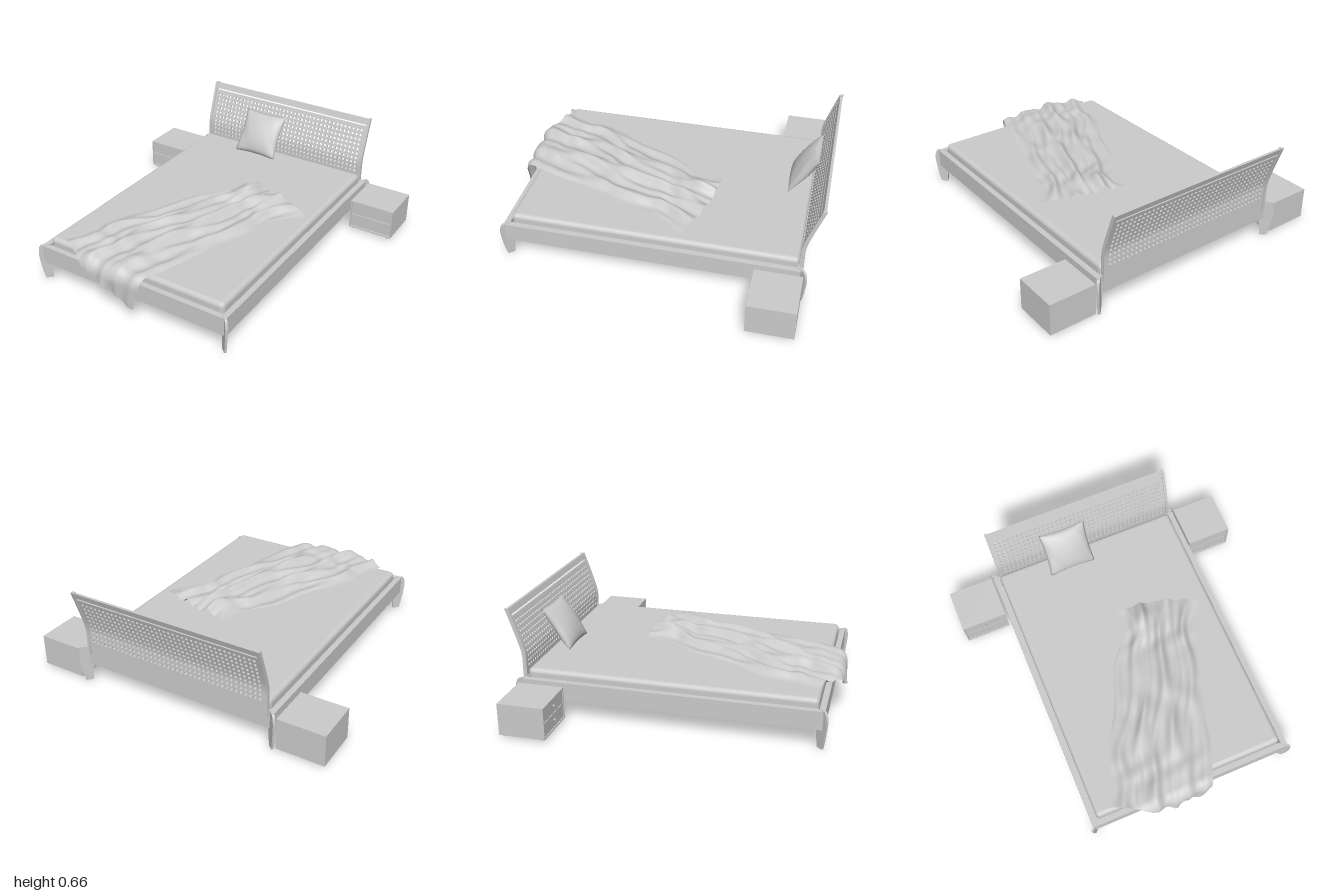
import * as THREE from 'three';
import { mergeGeometries, mergeVertices } from 'three/addons/utils/BufferGeometryUtils.js';
import { RoundedBoxGeometry } from 'three/addons/geometries/RoundedBoxGeometry.js';

const grey = new THREE.MeshStandardMaterial({ color: 0xcccccc });
const greyThin = new THREE.MeshStandardMaterial({ color: 0xcccccc, side: THREE.DoubleSide });

function add(parent, name, geometry, x = 0, y = 0, z = 0, material = grey) {
  const mesh = new THREE.Mesh(geometry, material);
  mesh.name = name;
  mesh.position.set(x, y, z);
  parent.add(mesh);
  return mesh;
}

// Box given by its lower and upper corners
function addBox(parent, name, [x0, y0, z0], [x1, y1, z1]) {
  return add(parent, name, new THREE.BoxGeometry(x1 - x0, y1 - y0, z1 - z0),
    (x0 + x1) / 2, (y0 + y1) / 2, (z0 + z1) / 2);
}

// Applies a rule to every vertex, then refreshes the normals
function reshape(geometry, rule) {
  const p = geometry.attributes.position;
  const v = new THREE.Vector3();
  for (let i = 0; i < p.count; i++) {
    rule(v.fromBufferAttribute(p, i));
    p.setXYZ(i, v.x, v.y, v.z);
  }
  geometry.computeVertexNormals();
  return geometry;
}

// Headboard leans back above the pillow line
function lean(v) {
  const t = Math.max(0, v.y - 0.36);
  v.z -= 0.9 + 0.36 * t * t / (t + 0.05);
}

function createHeadboard() {
  const group = new THREE.Group();
  group.name = 'headboard';
  const bentBoard = (name, x0, x1, y0, y1, depth) => {
    const g = new THREE.BoxGeometry(x1 - x0, y1 - y0, depth, 1, 12, 1);
    g.translate((x0 + x1) / 2, (y0 + y1) / 2, 0);
    add(group, name, reshape(g, lean));
  };
  for (const s of [-1, 1]) {
    bentBoard('headboardPost', s * 0.61 - 0.009, s * 0.61 + 0.009, 0.2, 0.658, 0.024);
    bentBoard('panelSideBorder', s * 0.593 - 0.008, s * 0.593 + 0.008, 0.235, 0.605, 0.012);
  }
  bentBoard('headboardTopRail', -0.602, 0.602, 0.618, 0.655, 0.016);
  bentBoard('panelTopBorder', -0.585, 0.585, 0.59, 0.605, 0.012);
  bentBoard('panelBottomBorder', -0.585, 0.585, 0.235, 0.28, 0.012);

  // Perforated panel: one pierced tile repeated in rows and columns
  const cols = 39, rows = 10, w = 0.03, h = 0.031, r = 0.0095, depth = 0.012;
  const shape = new THREE.Shape();
  shape.moveTo(-w / 2, -h / 2).lineTo(w / 2, -h / 2).lineTo(w / 2, h / 2).lineTo(-w / 2, h / 2).closePath();
  shape.holes.push(new THREE.Path().absarc(0, 0, r, 0, Math.PI * 2, true));
  const face = new THREE.ShapeGeometry(shape, 6);
  const tile = mergeGeometries([
    face.clone().translate(0, 0, depth / 2),
    face.clone().rotateY(Math.PI).translate(0, 0, -depth / 2),
    new THREE.CylinderGeometry(r, r, depth, 12, 1, true).rotateX(Math.PI / 2),
  ]);
  const tiles = [];
  for (let i = 0; i < cols; i++)
    for (let j = 0; j < rows; j++)
      tiles.push(tile.clone().translate((i - (cols - 1) / 2) * w, 0.28 + (j + 0.5) * h, 0));
  add(group, 'perforatedPanel', reshape(mergeGeometries(tiles), lean), 0, 0, 0, greyThin);
  return group;
}

function createFrame() {
  const group = new THREE.Group();
  group.name = 'bedFrame';
  for (const s of [-1, 1]) {
    const x = [s * 0.66, s * 0.625].sort((a, b) => a - b);
    addBox(group, 'sideRail', [x[0], 0.12, -0.9], [x[1], 0.235, 0.91]);
  }
  addBox(group, 'footRail', [-0.625, 0.12, 0.875], [0.625, 0.235, 0.91]);
  addBox(group, 'headRail', [-0.625, 0.12, -0.9], [0.625, 0.235, -0.88]);
  addBox(group, 'basePanel', [-0.625, 0.12, -0.88], [0.625, 0.135, 0.875]);

  // Thin legs set diagonally across the corners
  const leg = new THREE.Shape();
  leg.moveTo(-0.045, 0).lineTo(0.0, 0);
  leg.quadraticCurveTo(0.02, 0.08, 0.028, 0.17);
  leg.quadraticCurveTo(0.028, 0.225, 0.008, 0.238);
  leg.lineTo(-0.04, 0.238).lineTo(-0.058, 0.12).closePath();
  const legGeometry = new THREE.ExtrudeGeometry(leg, { depth: 0.014, bevelEnabled: false, curveSegments: 8 });
  legGeometry.translate(0, 0, -0.007);
  for (const sx of [-1, 1])
    for (const sz of [-1, 1]) {
      const mesh = add(group, sz > 0 ? 'frontLeg' : 'backLeg', legGeometry, sx * 0.656, 0, sz > 0 ? 0.906 : -0.918);
      mesh.rotation.y = Math.atan2(-sz, sx);
    }
  return group;
}

function createNightstand(side) {
  const group = new THREE.Group();
  group.name = side > 0 ? 'leftNightstand' : 'rightNightstand';
  group.position.set(side * 0.825, 0, -0.777);
  const w = 0.148, d = 0.142;
  addBox(group, 'top', [-w, 0.205, -d], [w, 0.215, d]);
  addBox(group, 'bottom', [-w, 0.016, -d], [w, 0.026, d]);
  addBox(group, 'back', [-w + 0.008, 0.026, -d], [w - 0.008, 0.205, -d + 0.008]);
  addBox(group, 'drawerBox', [-w + 0.008, 0.026, -d + 0.008], [w - 0.008, 0.205, d - 0.02]);
  for (const s of [-1, 1]) {
    const x = s * (w - 0.004);
    addBox(group, 'sidePanel', [x - 0.004, 0.026, -d], [x + 0.004, 0.205, d]);
    for (const z of [-0.12, 0.12])
      add(group, 'foot', new THREE.CylinderGeometry(0.008, 0.008, 0.016, 12), s * 0.122, 0.008, z);
  }
  for (const y of [0.031, 0.122]) {
    addBox(group, 'drawerFront', [-w + 0.01, y, d - 0.02], [w - 0.01, y + (y < 0.1 ? 0.086 : 0.08), d - 0.003]);
    const knob = new THREE.CylinderGeometry(0.009, 0.006, 0.012, 16).rotateX(Math.PI / 2);
    add(group, 'drawerKnob', knob, 0, y + 0.045, d + 0.003);
  }
  return group;
}

function createPillow(parent) {
  const front = new THREE.PlaneGeometry(2, 2, 28, 28);
  const back = front.clone().rotateY(Math.PI);
  front.translate(0, 0, 1);
  back.translate(0, 0, -1);
  const g = mergeGeometries([front, back]);
  reshape(g, (v) => {
    const { x: a, y: b, z: side } = v;
    const belly = Math.pow(Math.max(0, (1 - a * a) * (1 - b * b)), 0.55);
    const wrinkle = 0.003 * Math.sin(9 * a + 5 * b) * Math.min(1, belly * 3) * a * a;
    v.set(0.157 * a * (1 - 0.06 * (1 - b * b)), 0.156 * b * (1 - 0.06 * (1 - a * a)), side * (0.052 * belly + wrinkle));
  });
  g.deleteAttribute('uv');
  g.deleteAttribute('normal');
  const smooth = mergeVertices(g, 1e-5);
  smooth.computeVertexNormals();
  const pillow = add(parent, 'pillow', smooth, -0.14, 0.418, -0.828);
  pillow.rotation.x = -0.58;
}

function createBlanket(parent) {
  // Long edges of the cloth laid flat; the part past the foot rail is folded down
  const edge = (pts) => new THREE.CatmullRomCurve3(pts.map(([x, s]) => new THREE.Vector3(x, 0, s)));
  const left = edge([[0, -0.32], [-0.02, -0.16], [-0.16, 0.03], [-0.29, 0.32], [-0.42, 0.55], [-0.46, 0.72], [-0.51, 0.85]]);
  const right = edge([[0.56, -0.17], [0.44, 0], [0.38, 0.2], [0.3, 0.42], [0.21, 0.68], [0.14, 0.9], [0.07, 1.13]]);
  const bump = (x, c, w) => Math.exp(-(((x - c) / w) ** 2));
  const g = new THREE.PlaneGeometry(1, 1, 64, 110);
  reshape(g, (p) => {
    const u = p.x + 0.5, v = 0.5 - p.y;
    const flat = left.getPoint(v).lerp(right.getPoint(v), u);
    const s = flat.z - 0.04 * Math.sin(Math.PI * u) * (1 - v) ** 4;
    const x = flat.x + 0.008 * Math.sin(17 * v + 2 * u);

    // Lengthwise folds that wander, with a few high crests
    const wave = (n, drift, f, ph) => 0.5 + 0.5 * Math.sin(2 * Math.PI * (n * u + drift * Math.sin(f * v + ph)) + ph);
    const soft = Math.min(1, 0.2 + 5 * u * (1 - u));
    const h = 0.01 + soft * (0.026 * wave(3.5, 0.3, 5, 0.6) ** 2 + 0.016 * wave(6, 0.35, 7, 2.1) ** 1.5
      + 0.008 * wave(2, 0.8, 11, 4) + 0.024 * bump(v, 0.5, 0.3) * bump(u, 0.55, 0.25)
      + 0.04 * bump(v, 0.11, 0.09) * bump(u, 0.3, 0.25));

    const foldStart = 0.9, r = 0.05, top = 0.287;
    const angle = THREE.MathUtils.clamp((s - foldStart) / r, 0, Math.PI / 2);
    const drop = Math.max(0, s - foldStart - r * Math.PI / 2);
    p.set(x, top - r + (r + h) * Math.cos(angle) - drop,
      Math.min(s, foldStart) + (r + h * 0.8) * Math.sin(angle));
    p.z = Math.min(p.z, 1);
  });
  add(parent, 'blanket', g, 0, 0, 0, greyThin);
}

export function createModel() {
  const model = new THREE.Group();
  model.name = 'bedWithNightstands';
  model.add(createFrame(), createHeadboard(), createNightstand(-1), createNightstand(1));
  add(model, 'mattress', new RoundedBoxGeometry(1.236, 0.15, 1.755, 5, 0.028), 0, 0.211, -0.008);
  createPillow(model);
  createBlanket(model);
  return model;
}
